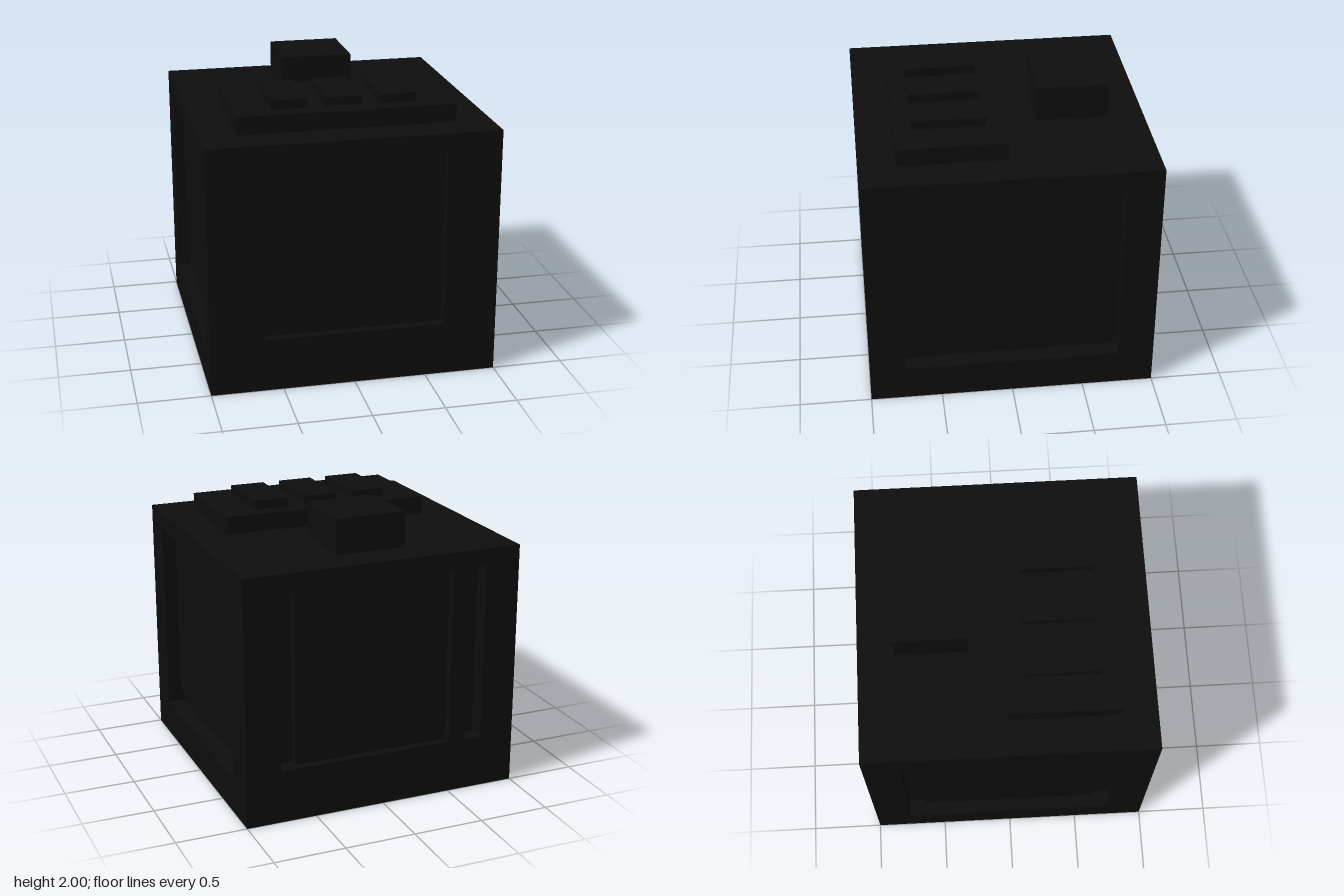
import * as THREE from 'three';

export function createModel() {
  const model = new THREE.Group();
  model.name = 'controlBlock';
  const black = new THREE.MeshStandardMaterial({ color: 0x0d0d0d });
  black.name = 'matte black';

  // Box given by its minimum and maximum corners
  function box(name, [x0, y0, z0], [x1, y1, z1]) {
    const geometry = new THREE.BoxGeometry(x1 - x0, y1 - y0, z1 - z0);
    geometry.translate((x0 + x1) / 2, (y0 + y1) / 2, (z0 + z1) / 2);
    const mesh = new THREE.Mesh(geometry, black);
    mesh.name = name;
    model.add(mesh);
  }

  function rectangle(target, x0, y0, x1, y1) {
    target.moveTo(x0, y0);
    target.lineTo(x1, y0);
    target.lineTo(x1, y1);
    target.lineTo(x0, y1);
    target.closePath();
    return target;
  }

  // Wall slab with rectangular openings, turned to face its side
  function frame(name, x0, x1, depth, angle, openings) {
    const shape = rectangle(new THREE.Shape(), x0, 0, x1, 1.75);
    for (const o of openings) shape.holes.push(rectangle(new THREE.Path(), ...o));
    const geometry = new THREE.ExtrudeGeometry(shape, { depth, bevelEnabled: false });
    geometry.translate(0, 0, 1 - depth);
    geometry.rotateY(angle);
    const mesh = new THREE.Mesh(geometry, black);
    mesh.name = name;
    model.add(mesh);
  }

  // Core, whose faces are the floors of the recesses
  box('bodyCore', [-0.875, 0, -0.875], [0.875, 1.75, 0.9375]);

  // Outer walls
  frame('frontFrame', -1, 1, 0.0625, 0, [[-0.625, 0.375, 0.625, 1.625]]);
  frame('backFrame', -1, 1, 0.125, Math.PI, [
    [-0.75, 0.375, 0.5, 1.625],
    [0.625, 0.375, 0.75, 1.625],
  ]);
  const sideOpening = [[-0.75, 0.25, 0.75, 1.625]];
  frame('leftFrame', -0.9375, 0.875, 0.125, Math.PI / 2, sideOpening);
  frame('rightFrame', -0.875, 0.9375, 0.125, -Math.PI / 2, sideOpening);

  // Raised panels inside the recesses
  box('leftPanel', [0.875, 0.375, -0.625], [0.9375, 1.625, 0.625]);
  box('rightPanel', [-0.9375, 0.375, -0.625], [-0.875, 1.625, 0.625]);
  box('backPanel', [-0.5, 0.375, -0.9375], [0.625, 1.625, -0.875]);

  // Top plate with three buttons, and the block behind it
  box('buttonPlate', [-0.75, 1.75, 0], [0.75, 1.875, 0.75]);
  for (const x of [-0.375, 0, 0.375]) {
    box('button', [x - 0.125, 1.875, 0.125], [x + 0.125, 1.9375, 0.625]);
  }
  box('topBlock', [-0.25, 1.75, -0.75], [0.25, 2, -0.25]);

  return model;
}
